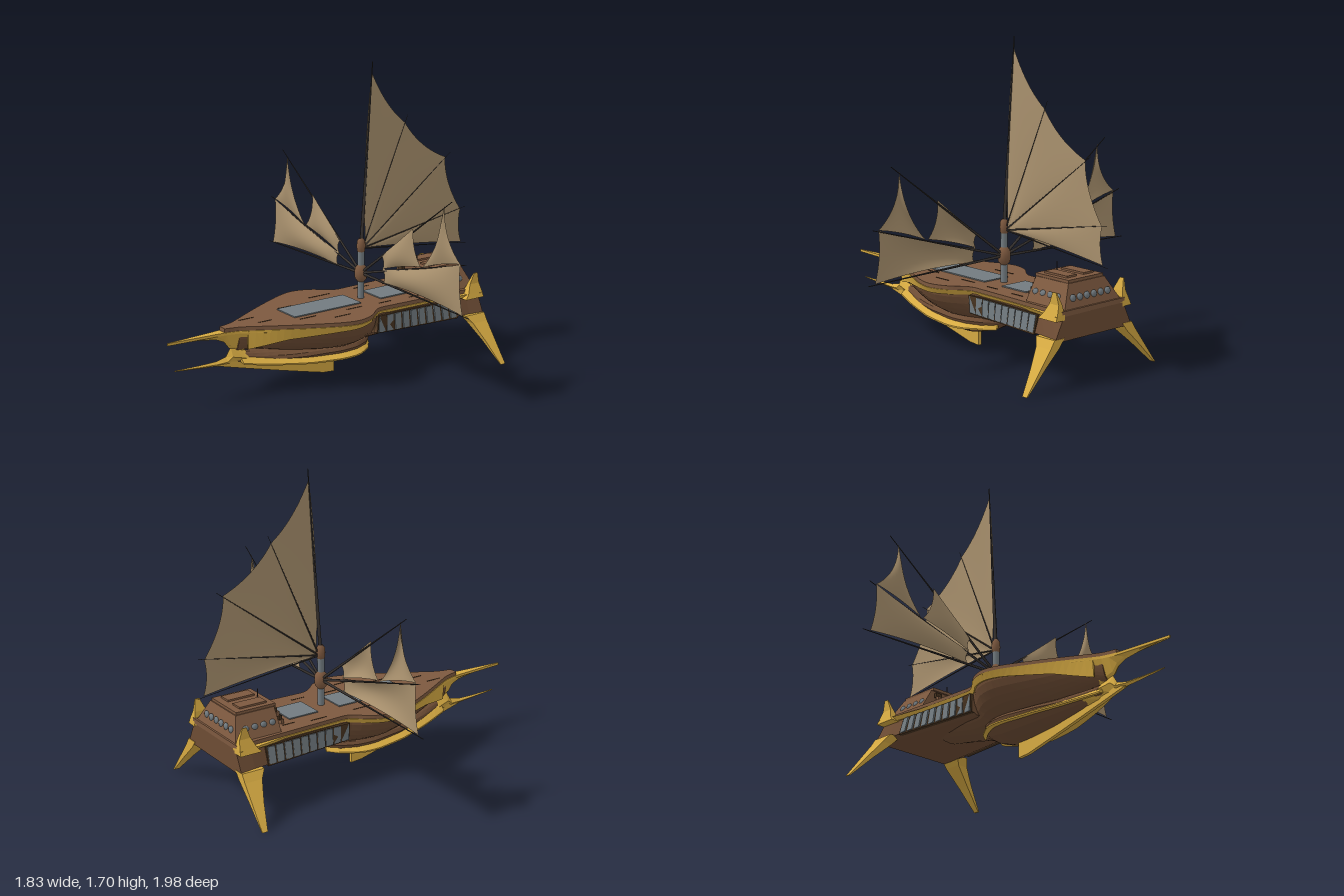
import * as THREE from 'three';

const mat = (name, color, side = THREE.DoubleSide) => {
  const m = new THREE.MeshStandardMaterial({ color, side });
  m.name = name;
  return m;
};

export function createModel() {
  const wood = mat('deck wood', 0x7d593f), hullWood = mat('hull wood', 0x6d4c34), dark = mat('dark wood', 0x46321f),
    gold = mat('gold', 0xd6aa42), cloth = mat('sailcloth', 0xa8906d), metal = mat('grey metal', 0x727b80),
    spar = mat('spar', 0x37322f);
  const model = new THREE.Group();
  model.name = 'airship';
  const V = (x, y, z) => new THREE.Vector3(x, y, z);
  const add = (name, geo, m, x = 0, y = 0, z = 0) => {
    const mesh = new THREE.Mesh(geo, m);
    mesh.name = name;
    mesh.position.set(x, y, z);
    model.add(mesh);
    return mesh;
  };
  const box = (name, w, h, d, m, x, y, z) => add(name, new THREE.BoxGeometry(w, h, d), m, x, y, z);

  // Capped, faceted skin over closed rings of [x, y, z], always wound outwards
  const loft = (name, rings, m) => {
    const n = rings[0].length, tris = [];
    for (let i = 0; i < rings.length - 1; i++) for (let j = 0; j < n; j++) {
      const k = (j + 1) % n, a = rings[i][j], b = rings[i][k], c = rings[i + 1][k], d = rings[i + 1][j];
      tris.push([a, b, c], [a, c, d]);
    }
    const first = rings[0], last = rings[rings.length - 1];
    for (let j = 1; j < n - 1; j++) tris.push([first[0], first[j + 1], first[j]], [last[0], last[j], last[j + 1]]);
    let vol = 0;
    for (const [a, b, c] of tris) vol += V(...a).dot(V(...b).cross(V(...c)));
    if (vol < 0) tris.forEach((t) => t.reverse());
    const g = new THREE.BufferGeometry();
    g.setAttribute('position', new THREE.Float32BufferAttribute(tris.flat(2), 3));
    g.computeVertexNormals();
    return add(name, g, m);
  };
  // Linear lookup in a falling list of [z, value]
  const look = (list, z) => {
    for (let i = 0; i < list.length - 1; i++) {
      const [z0, a] = list[i], [z1, b] = list[i + 1];
      if (z >= z1) return a + (b - a) * Math.max(0, (z0 - z) / (z0 - z1));
    }
    return list[list.length - 1][1];
  };
  const steps = (a, b, n) => Array.from({ length: n + 1 }, (_, i) => a + (b - a) * i / n);

  // Deck outline: leaf-shaped bow, waist, then a long stern
  const outline = new THREE.SplineCurve([[0.66, 0.025], [0.58, 0.045], [0.5, 0.088], [0.4, 0.145], [0.3, 0.2], [0.2, 0.25],
    [0.1, 0.296], [0, 0.318], [-0.1, 0.288], [-0.17, 0.232], [-0.22, 0.205], [-0.3, 0.205], [-0.5, 0.212], [-0.7, 0.22],
    [-0.9, 0.225]].map((p) => new THREE.Vector2(...p))).getPoints(60).map((p) => [p.x, p.y]);
  const width = (z) => look(outline, z);
  const deckShape = new THREE.Shape([...outline.map(([z, w]) => new THREE.Vector2(w, z)),
    ...outline.slice().reverse().map(([z, w]) => new THREE.Vector2(-w, z))]);
  const deckGeo = new THREE.ExtrudeGeometry(deckShape, { depth: 0.027, bevelEnabled: false });
  deckGeo.rotateX(Math.PI / 2);
  add('deck', deckGeo, wood, 0, 0.387, 0);

  // Rounded bow hull
  const keel = [[0.6, 0.25], [0.45, 0.235], [0.3, 0.2], [0.15, 0.178], [0, 0.166], [-0.3, 0.166], [-0.45, 0.2], [-0.6, 0.225]];
  loft('bowHull', steps(0.58, -0.6, 28).map((z) => {
    const w = Math.max(0.02, width(z) * (z > -0.2 ? 0.93 : 0.93 - 0.4 * (-0.2 - z))), b = look(keel, z);
    return steps(0, Math.PI, 16).map((a) => [Math.cos(a) * w, 0.362 - Math.sin(a) * (0.362 - b), z]);
  }), hullWood);

  // Boxy stern hull, flaring towards its lower edge
  const low = [[-0.2, 0.2], [-0.5, 0.228], [-0.75, 0.25], [-0.9, 0.27]];
  loft('sternHull', steps(-0.2, -0.9, 8).map((z) => {
    const w = width(z) - 0.01, b = look(low, z);
    return [[w, 0.362, z], [b, 0.25, z], [b * 0.85, 0.235, z], [-b * 0.85, 0.235, z], [-b, 0.25, z], [-w, 0.362, z]];
  }), hullWood);

  // Lower belly pod
  const bellyLow = [[0.58, 0.185], [0.4, 0.137], [0.2, 0.1], [0, 0.08], [-0.08, 0.082], [-0.2, 0.12], [-0.28, 0.165]];
  const bellyWide = [[0.58, 0.012], [0.4, 0.075], [0.2, 0.135], [0, 0.168], [-0.1, 0.16], [-0.2, 0.115], [-0.28, 0.03]];
  loft('bellyPod', steps(0.58, -0.28, 20).map((z) => {
    const w = look(bellyWide, z), b = look(bellyLow, z), c = 0.175 + Math.max(0, z - 0.3) * 0.07;
    return steps(0, Math.PI * 1.875, 15).map((a) => [Math.cos(a) * w, c + Math.sin(a) * (Math.sin(a) < 0 ? c - b : 0.045), z]);
  }), hullWood);

  // Gold prow: upper and lower prongs joined by a curved throat
  const under = [[0.99, 0.357], [0.8, 0.343], [0.7, 0.328], [0.65, 0.305], [0.62, 0.265], [0.54, 0.235], [0.44, 0.265]];
  loft('upperProng', [0.99, 0.9, 0.8, 0.7, 0.65, 0.62, 0.58, 0.54, 0.49, 0.44].map((z) => {
    const w = z > 0.65 ? 0.003 + (0.99 - z) * 0.075 : width(z) + 0.004, b = look(under, z);
    return [[w, 0.366, z], [w, 0.352, z], [w * 0.35, b + 0.04 * (0.99 - z), z], [0, b, z],
      [-w * 0.35, b + 0.04 * (0.99 - z), z], [-w, 0.352, z], [-w, 0.366, z]];
  }), gold);
  loft('lowerProng', [[0.95, 0.204, 0.21, 0.002], [0.8, 0.19, 0.207, 0.009], [0.7, 0.182, 0.208, 0.014], [0.64, 0.175, 0.222, 0.02],
    [0.61, 0.172, 0.27, 0.024], [0.54, 0.16, 0.25, 0.035], [0.45, 0.145, 0.19, 0.055]].map(([z, b, t, w]) =>
    [[0, t, z], [w, (t + b) / 2, z], [0, b, z], [-w, (t + b) / 2, z]]), gold);
  const fin = new THREE.Shape();
  fin.moveTo(0.7, 0.185);
  fin.quadraticCurveTo(0.3, 0.075, 0.02, 0.006);
  fin.lineTo(-0.05, 0);
  fin.lineTo(-0.05, 0.09);
  fin.lineTo(0.3, 0.13);
  fin.lineTo(0.6, 0.2);
  const finGeo = new THREE.ExtrudeGeometry(fin, { depth: 0.02, bevelEnabled: false });
  finGeo.rotateY(-Math.PI / 2);
  add('keelFin', finGeo, gold, 0.01, 0, 0);

  const bandLow = [[0.54, 0.26], [0.45, 0.28], [0.35, 0.305], [0.1, 0.33], [-0.2, 0.342], [-0.9, 0.345]];
  for (const s of [1, -1]) {
    // Gold band under the deck edge and gold wing round the belly
    loft('deckBand', steps(0.54, -0.9, 44).map((z) => {
      const w = width(z), b = look(bandLow, z), o = z < -0.6 ? (-0.6 - z) * 0.12 : 0;
      return [[s * (w + 0.005 + o), 0.366, z], [s * (w * 0.95 + o), b, z], [s * w * 0.85, b + 0.008, z], [s * w * 0.85, 0.366, z]];
    }), gold);
    loft('bellyWing', steps(0.56, -0.25, 18).map((z) => {
      const w = look(bellyWide, z), y = 0.15 + Math.max(0, z) ** 2 * 0.13, o = 0.03 * Math.min(1, (z + 0.26) * 6);
      return [[s * w * 0.8, y + 0.025, z], [s * (w + o), y - 0.008, z], [s * (w + o), y - 0.016, z], [s * w * 0.8, y - 0.005, z]];
    }), gold);

    // Stern horn and landing leg
    const blade = (name, rows) => loft(name, rows.map(([x, y, z0, z1, t]) =>
      [[s * (x - t), y, z0], [s * (x + t), y, z0], [s * (x + t), y, z1], [s * (x - t), y, z1]]), gold);
    blade('sternHorn', [[0.243, 0.482, -0.85, -0.875, 0.003], [0.23, 0.42, -0.825, -0.89, 0.012], [0.235, 0.37, -0.8, -0.9, 0.026],
      [0.24, 0.342, -0.775, -0.902, 0.032]]);
    blade('landingLeg', [[0.245, 0.252, -0.77, -0.902, 0.035], [0.275, 0.21, -0.8, -0.902, 0.032], [0.36, 0.118, -0.835, -0.902, 0.018],
      [0.465, 0, -0.87, -0.902, 0.004]]);

    // Framed side panels
    loft('panelFrame', steps(-0.2, -0.73, 4).map((z) => {
      const w = width(z), b = look(low, z);
      return [[s * (w - 0.02), 0.343, z], [s * (w + 0.006), 0.343, z], [s * (b + 0.008), 0.243, z], [s * (b - 0.03), 0.243, z]];
    }), dark);
    for (let i = 0; i < 10; i++) {
      const z = -0.2275 - i * 0.0525, w = width(z), b = look(low, z);
      const p = box('sidePanel', 0.014, 0.09, 0.042, metal, s * ((w + b) / 2 + 0.006), 0.294, z);
      p.rotation.set(0, s * 0.08, s * Math.atan2(b - w, 0.11));
    }

    // Cabin side portholes, steps and roof chests
    for (let i = 0; i < 4; i++) {
      const p = add('sidePorthole', new THREE.SphereGeometry(0.02, 10, 6), metal, s * 0.166, 0.435, -0.65 - i * 0.053);
      p.scale.x = 0.6;
    }
    for (let i = 0; i < 4; i++) box('stair', 0.04, 0.025, 0.018, i % 2 ? dark : wood, s * 0.095, 0.4 + i * 0.025, -0.555 - i * 0.014);
    box('roofBlock', 0.07, 0.012, 0.16, wood, s * 0.06, 0.524, -0.72);
  }

  // Stern cabin with sloping sides and back
  loft('cabin', [[0.385, 0.2, -0.89], [0.505, 0.13, -0.845]].map(([y, w, back]) =>
    [[w, y, -0.615], [w, y, back], [-w, y, back], [-w, y, -0.615]]), wood);
  box('cabinRoof', 0.25, 0.016, 0.235, wood, 0, 0.512, -0.722);
  box('cabinDoor', 0.05, 0.085, 0.008, dark, 0, 0.43, -0.613);
  add('roofPost', new THREE.CylinderGeometry(0.003, 0.003, 0.05, 6), spar, 0, 0.54, -0.635);
  for (let i = 0; i < 6; i++) {
    const p = add('sternPorthole', new THREE.SphereGeometry(0.02, 10, 6), metal, -0.125 + i * 0.05, 0.435, -0.871);
    p.scale.z = 0.6;
  }

  // Deck gratings and dark plank seams
  box('foreGrating', 0.17, 0.008, 0.44, metal, 0, 0.389, 0.04);
  box('aftGrating', 0.17, 0.008, 0.18, metal, 0, 0.389, -0.405);
  for (const [x, z, l] of [[-0.16, -0.07, 0.14], [0.13, -0.1, 0.1], [0.2, 0.03, 0.1], [-0.1, 0.2, 0.08], [0.12, 0.2, 0.1], [-0.05, 0.48, 0.09],
    [0.04, 0.42, 0.08], [-0.16, -0.36, 0.1], [0.15, -0.5, 0.08], [-0.13, -0.53, 0.07], [0.14, -0.3, 0.08]])
    box('plankSeam', 0.006, 0.004, l, dark, x, 0.387, z);

  // Mast and hubs
  const mz = -0.24;
  add('mast', new THREE.CylinderGeometry(0.019, 0.019, 0.3, 10), metal, 0, 0.53, mz);
  const hubShape = [[0.018, -0.048], [0.033, -0.03], [0.036, 0], [0.033, 0.03], [0.018, 0.048]].map((p) => new THREE.Vector2(...p));
  add('lowerHub', new THREE.LatheGeometry(hubShape, 12), wood, 0, 0.53, mz);
  add('upperHub', new THREE.LatheGeometry(hubShape, 12), wood, 0, 0.685, mz).scale.set(0.68, 0.9, 0.68);

  const pole = (name, a, b, r = 0.008) => {
    const d = b.clone().sub(a), m = add(name, new THREE.CylinderGeometry(r * 0.25, r, d.length(), 6), spar);
    m.position.copy(a).addScaledVector(d, 0.5);
    m.quaternion.setFromUnitVectors(V(0, 1, 0), d.normalize());
  };
  // Cloth panel spanning four corners; each edge bends through a control point given as a shift from its middle
  const sail = (name, at, c, bends, bulge) => {
    const P = c.map((p) => new THREE.Vector2(...p));
    const edge = (i, j, k) => new THREE.QuadraticBezierCurve(P[i],
      P[i].clone().add(P[j]).multiplyScalar(0.5).add(new THREE.Vector2(...bends[k])), P[j]);
    const E = [edge(0, 1, 0), edge(1, 2, 1), edge(3, 2, 2), edge(0, 3, 3)];
    const g = new THREE.PlaneGeometry(1, 1, 12, 12), pos = g.attributes.position;
    for (let i = 0; i < pos.count; i++) {
      const u = pos.getX(i) + 0.5, v = pos.getY(i) + 0.5, q = new THREE.Vector2();
      q.addScaledVector(E[0].getPoint(u), 1 - v).addScaledVector(E[2].getPoint(u), v);
      q.addScaledVector(E[3].getPoint(v), 1 - u).addScaledVector(E[1].getPoint(v), u);
      [(1 - u) * (1 - v), u * (1 - v), u * v, (1 - u) * v].forEach((k, n) => q.addScaledVector(P[n], -k));
      pos.setXYZ(i, ...at(q.x, q.y, bulge * 16 * u * (1 - u) * v * (1 - v)));
    }
    g.computeVertexNormals();
    add(name, g, cloth);
  };

  // Side wings: three spars and three cloth panels each
  for (const s of [1, -1]) {
    for (const [x, y] of [[0.915, 0.508], [0.885, 0.785], [0.765, 1.088]]) pole('wingSpar', V(0, 0.53, mz), V(s * x, y, mz));
    const at = (x, y, b) => [s * x, y, mz + 0.004 + b];
    sail('lowerWingSail', at, [[0.21, 0.525], [0.87, 0.512], [0.845, 0.78], [0.2, 0.6]], [[0, 0.03], [-0.03, 0], [0, -0.025], [0.03, 0]], 0.025);
    sail('innerWingSail', at, [[0.2, 0.6], [0.525, 0.69], [0.46, 0.885], [0.19, 0.675]], [[0, 0.015], [-0.04, -0.02], [0, -0.005], [0.03, 0]], 0.02);
    sail('outerWingSail', at, [[0.54, 0.69], [0.845, 0.78], [0.71, 1.06], [0.71, 1.06]], [[0, 0.02], [-0.07, -0.04], [0, 0], [0.06, -0.04]], 0.02);
  }

  // Fan-shaped tail sail on five spars
  const root = [-0.27, 0.67];
  const tips = [[-0.305, 1.64], [-0.535, 1.34], [-0.825, 1.11], [-0.945, 0.79], [-0.955, 0.595]];
  const ends = [[-0.31, 1.695], [-0.555, 1.38], [-0.865, 1.133], [-0.98, 0.8], [-0.99, 0.585]];
  const outBend = [[0.02, -0.05], [0.04, -0.04], [0.06, 0.01], [0.03, 0]];
  ends.forEach(([z, y], i) => pole('tailSpar', V(0, 0.67, i ? -0.25 : mz), V(0, y, z), i ? 0.005 : 0.011));
  for (let i = 0; i < 4; i++)
    sail('tailSail', (z, y, b) => [b, y, z], [root, tips[i], tips[i + 1], root],
      [i ? [0, 0] : [0.045, 0], outBend[i], i === 3 ? [0, 0.015] : [0, 0], [0, 0]], 0.006);
  return model;
}
